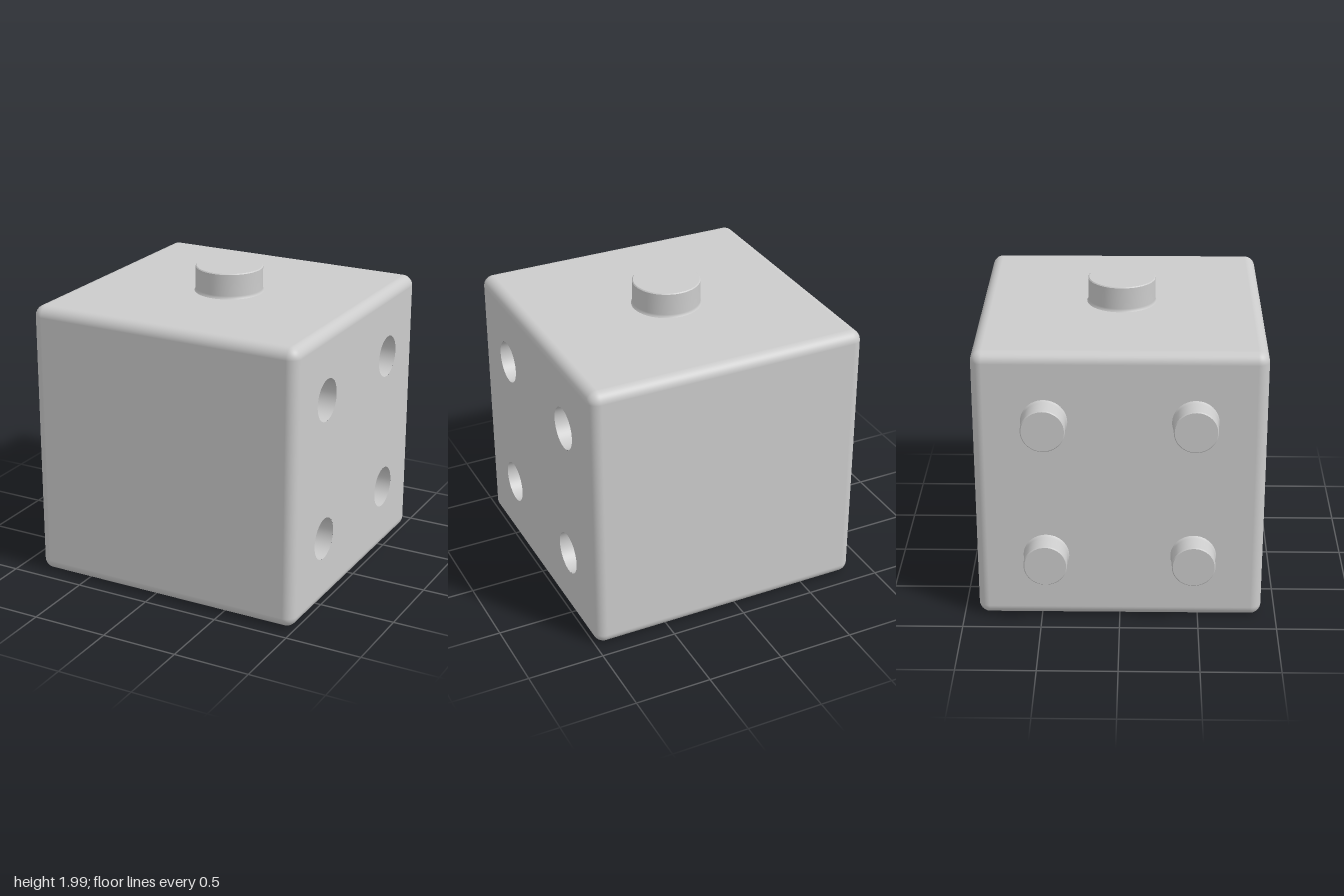
import * as THREE from 'three';

const mat = new THREE.MeshStandardMaterial({ color: 0xcccccc });
const HALF = new THREE.Vector3(0.925, 0.912, 0.908); // half size of the block
const CENTER = new THREE.Vector3(0.07, 0.912, 0);
const EDGE = 0.07;         // edge rounding
const STEPS = 6;           // segments across each half of an edge
const SIDE_OFFSET = 0.465; // spacing of the side pegs from the centre
const SIDE_R = 0.137, SIDE_H = 0.147;
const TOP_R = 0.218, TOP_H = 0.165;

function named(name, geometry) {
  const mesh = new THREE.Mesh(geometry, mat);
  mesh.name = name;
  return mesh;
}

// Rounded block; the flat centres of the +x and -y faces are left open for the drilled panels
function blockGeometry() {
  const n = 2 * STEPS + 1;
  const g = new THREE.BoxGeometry(2, 2, 2, n, n, n);
  const pos = g.attributes.position, nor = g.attributes.normal;
  const dir = new THREE.Vector3(), p = new THREE.Vector3();
  for (let v = 0; v < pos.count; v++) {
    p.fromBufferAttribute(pos, v);
    for (const k of ['x', 'y', 'z']) {
      const i = Math.round((p[k] + 1) / 2 * n);
      const side = i <= STEPS ? -1 : 1;
      const a = (side < 0 ? STEPS - i : i - STEPS - 1) / STEPS;
      dir[k] = side * Math.tan(a * Math.PI / 4);
      p[k] = side * (HALF[k] - EDGE);
    }
    dir.normalize();
    nor.setXYZ(v, dir.x, dir.y, dir.z);
    p.addScaledVector(dir, EDGE);
    pos.setXYZ(v, p.x, p.y, p.z);
  }
  const src = g.index.array, kept = [];
  for (let t = 0; t < src.length; t += 3) {
    const tri = [src[t], src[t + 1], src[t + 2]];
    const open = tri.every(v => nor.getX(v) > 0.9999) || tri.every(v => nor.getY(v) < -0.9999);
    if (!open) kept.push(...tri);
  }
  g.setIndex(kept);
  return g;
}

// Flat panel facing +z with round holes
function panelGeometry(hw, hh, radius, centers) {
  const shape = new THREE.Shape();
  shape.moveTo(-hw, -hh).lineTo(hw, -hh).lineTo(hw, hh).lineTo(-hw, hh).closePath();
  for (const [x, y] of centers) {
    shape.holes.push(new THREE.Path().absarc(x, y, radius, 0, Math.PI * 2, true));
  }
  return new THREE.ShapeGeometry(shape, 48);
}

// Peg (positive height) or socket (negative height), capped at its end; repeated points keep rims sharp
function plugGeometry(r, h) {
  const b = h > 0 ? 0.006 : 0;
  const pts = h > 0
    ? [[r + 0.012, -0.005], [r + 0.003, 0.006], [r, 0.02], [r, h - b], [r, h - b], [r - b, h], [r - b, h], [0, h]]
    : [[r, 0], [r, h], [r, h], [0, h]];
  return new THREE.LatheGeometry(pts.map(([x, y]) => new THREE.Vector2(x, y)), 48);
}

export function createModel() {
  const model = new THREE.Group();
  model.name = 'interlockingBlock';
  const block = new THREE.Group();
  block.name = 'block';
  block.position.copy(CENTER);
  model.add(block);

  block.add(named('roundedBody', blockGeometry()));

  // Drilled panels
  const corners = [[-1, -1], [1, -1], [1, 1], [-1, 1]].map(c => c.map(s => s * SIDE_OFFSET));
  const left = named('leftPanel', panelGeometry(HALF.z - EDGE, HALF.y - EDGE, SIDE_R, corners));
  left.rotation.y = Math.PI / 2;
  left.position.x = HALF.x;
  const bottom = named('bottomPanel', panelGeometry(HALF.x - EDGE, HALF.z - EDGE, TOP_R, [[0, 0]]));
  bottom.rotation.x = Math.PI / 2;
  bottom.position.y = -HALF.y;
  block.add(left, bottom);

  // Four pegs on one side, four matching sockets on the other
  const pegGeo = plugGeometry(SIDE_R, SIDE_H), socketGeo = plugGeometry(SIDE_R, -SIDE_H);
  for (const [z, y] of corners) {
    const peg = named('sidePeg', pegGeo);
    peg.rotation.z = Math.PI / 2;
    peg.position.set(-HALF.x, y, z);
    const socket = named('sideSocket', socketGeo);
    socket.rotation.z = -Math.PI / 2;
    socket.position.set(HALF.x, y, z);
    block.add(peg, socket);
  }

  // Larger peg on top, matching socket below
  const topPeg = named('topPeg', plugGeometry(TOP_R, TOP_H));
  topPeg.position.y = HALF.y;
  const bottomSocket = named('bottomSocket', plugGeometry(TOP_R, -0.15));
  bottomSocket.rotation.x = Math.PI;
  bottomSocket.position.y = -HALF.y;
  block.add(topPeg, bottomSocket);

  return model;
}
